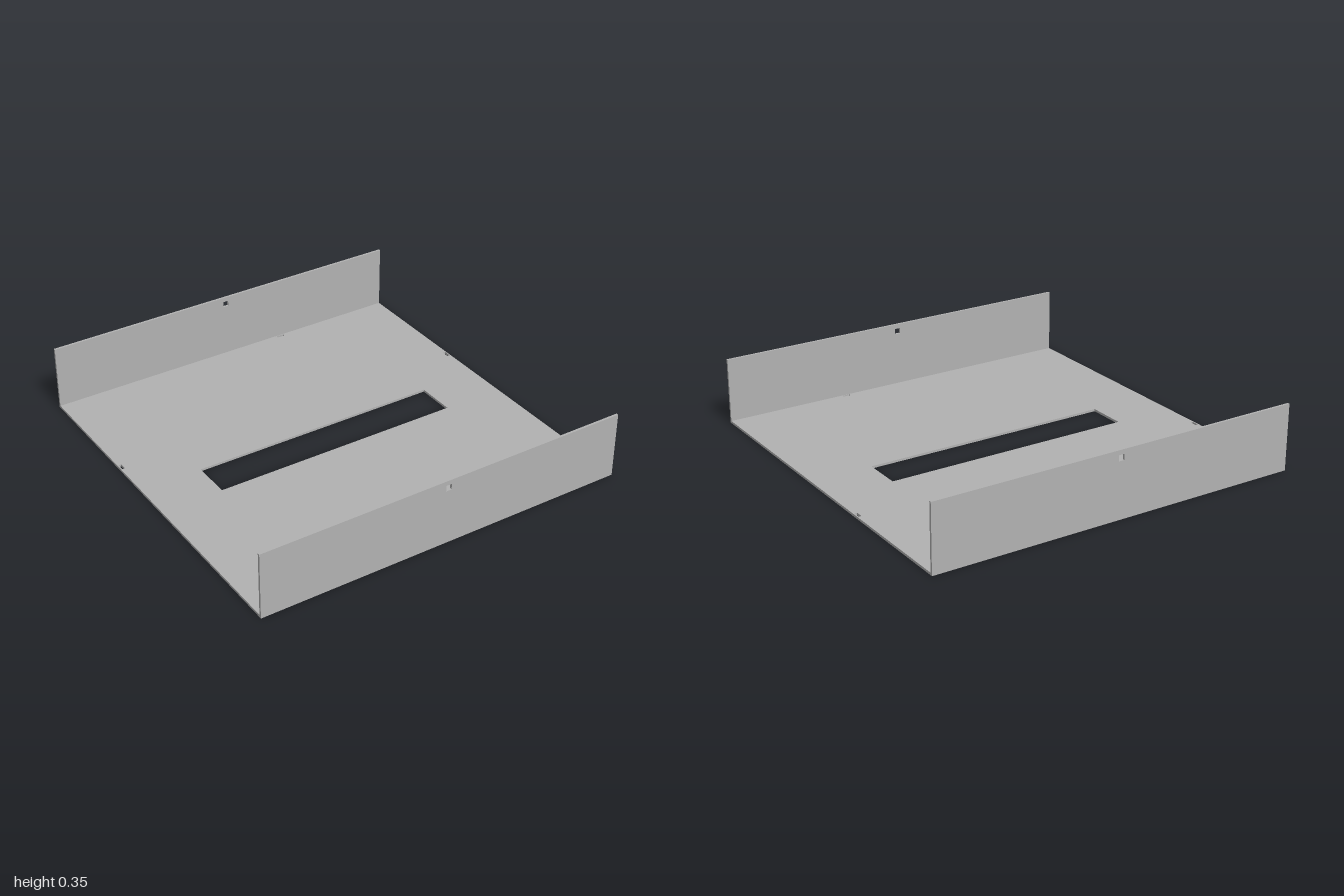
import * as THREE from 'three';

const HALF_W = 0.988, HALF_D = 1, HEIGHT = 0.346, T = 0.012;

// Flat plate in the XY plane with rectangular holes [cx, cy, width, height]
function plate(x0, y0, x1, y1, holes) {
  const trace = (path, a, b, c, d) =>
    path.moveTo(a, b).lineTo(c, b).lineTo(c, d).lineTo(a, d).closePath();
  const shape = new THREE.Shape();
  trace(shape, x0, y0, x1, y1);
  for (const [cx, cy, w, h] of holes) {
    const hole = new THREE.Path();
    trace(hole, cx - w / 2, cy - h / 2, cx + w / 2, cy + h / 2);
    shape.holes.push(hole);
  }
  return new THREE.ExtrudeGeometry(shape, { depth: T, bevelEnabled: false });
}

export function createModel() {
  const model = new THREE.Group();
  model.name = 'bracketTray';
  const metal = new THREE.MeshStandardMaterial({ color: 0xb2b2b2 });
  metal.name = 'grey metal';

  const add = (name, geometry) => {
    const mesh = new THREE.Mesh(geometry, metal);
    mesh.name = name;
    model.add(mesh);
  };

  // Floor with a long central slot and a small notch hole near each edge
  const inner = HALF_D - T;
  const floor = plate(-HALF_W, -inner, HALF_W, inner, [
    [0, 0, 1.328, 0.206],
    [0.327, 0.977, 0.04, 0.014],
    [0.327, -0.977, 0.04, 0.014],
    [0.975, 0.33, 0.014, 0.04],
    [-0.975, 0.33, 0.014, 0.04],
  ]);
  floor.rotateX(-Math.PI / 2);
  add('floor', floor);

  // Upright front and back walls, each with a small square hole near the top
  for (const [name, z] of [['frontWall', inner], ['backWall', -HALF_D]]) {
    const wall = plate(-HALF_W, 0, HALF_W, HEIGHT, [[0, 0.307, 0.03, 0.03]]);
    wall.translate(0, 0, z);
    add(name, wall);
  }
  return model;
}
